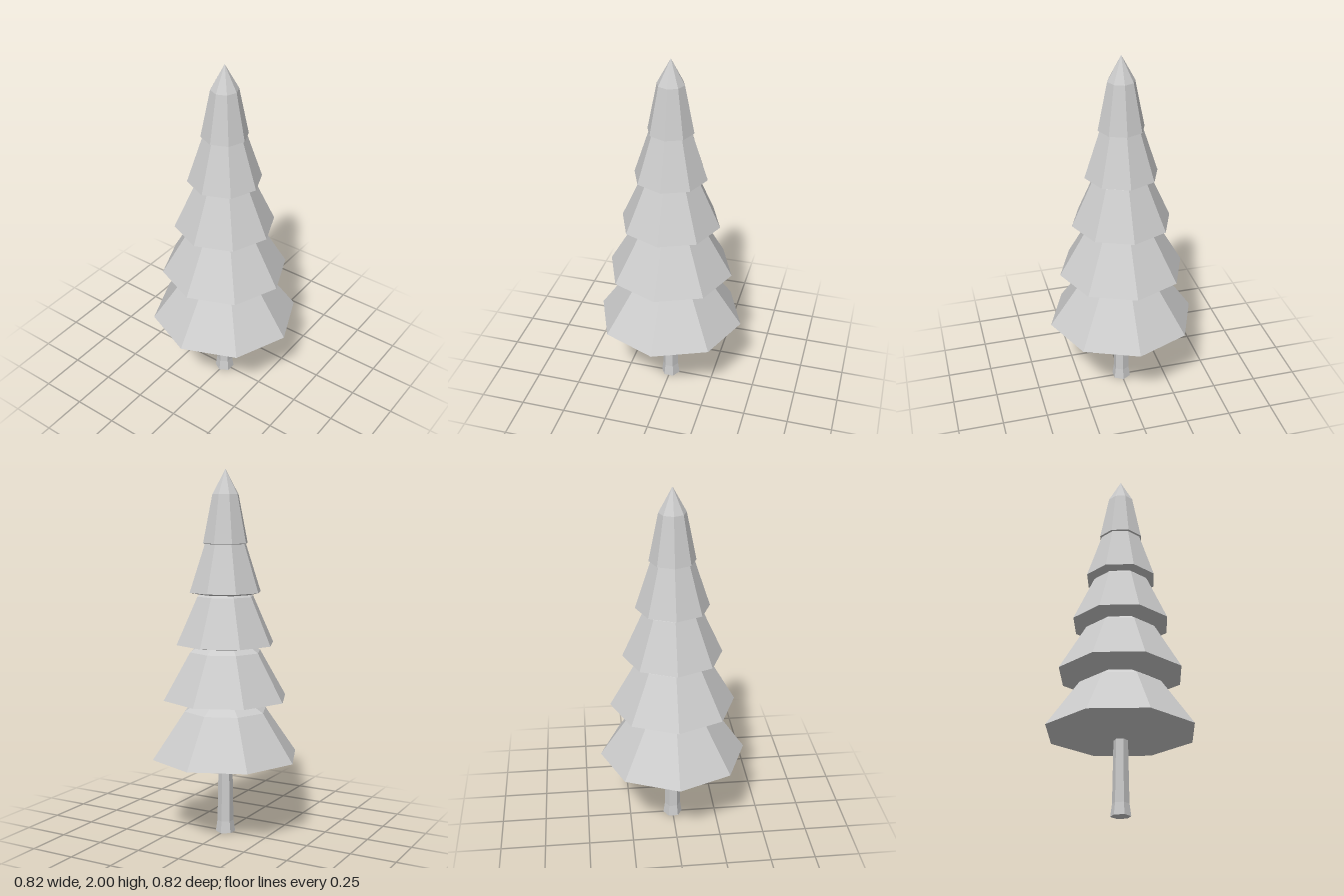
import * as THREE from 'three';

const grey = new THREE.MeshStandardMaterial({ color: 0xcccccc });
grey.name = 'grey';

// Faceted solid of revolution from [radius, height] points, bottom to top
function facetedLathe(name, profile, sides) {
  const points = profile.map(([r, y]) => new THREE.Vector2(r, y));
  const geometry = new THREE.LatheGeometry(points, sides, Math.PI / 2).toNonIndexed();
  geometry.computeVertexNormals();
  const mesh = new THREE.Mesh(geometry, grey);
  mesh.name = name;
  return mesh;
}

export function createModel() {
  const tree = new THREE.Group();
  tree.name = 'coniferTree';

  // Six-sided trunk with a flared foot
  tree.add(facetedLathe('trunk', [[0, 0], [0.054, 0], [0.045, 0.065], [0.038, 0.42], [0, 0.42]], 6));

  // Eight-sided foliage tiers: rim radius, rim height, shoulder radius
  const tiers = [
    [0.411, 0.438, 0.232],
    [0.348, 0.763, 0.199],
    [0.274, 1.064, 0.157],
    [0.2, 1.345, 0.115],
    [0.125, 1.607, 0.073],
  ];
  tiers.forEach(([rim, y, shoulder], i) => {
    const profile = [[0, y - 0.042], [rim, y], [shoulder, y + 0.259], [0, y + 0.393]];
    tree.add(facetedLathe(`foliageTier${i + 1}`, profile, 8));
  });

  return tree;
}
